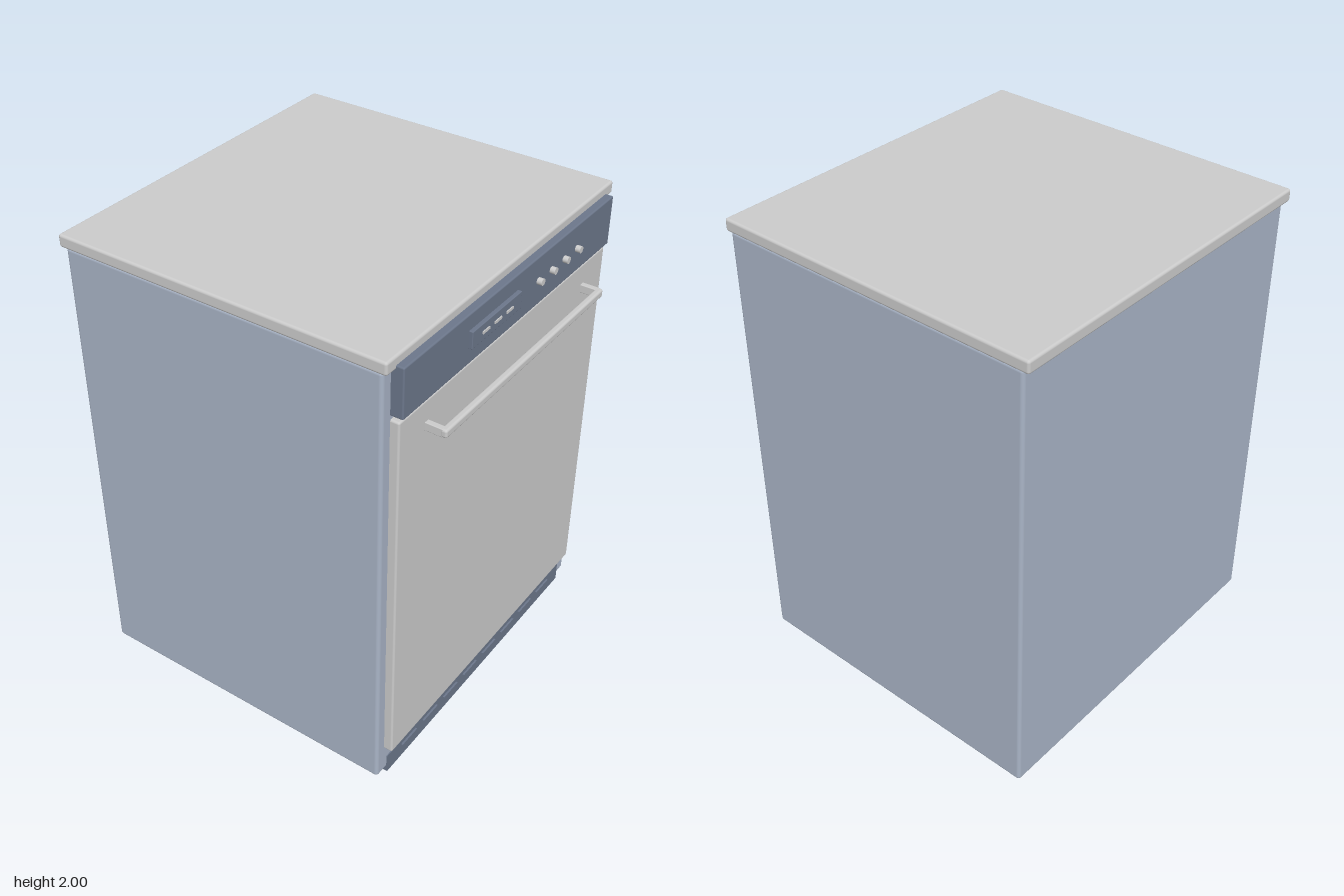
import * as THREE from 'three';
import { RoundedBoxGeometry } from 'three/addons/geometries/RoundedBoxGeometry.js';

const paint = (color) => new THREE.MeshStandardMaterial({ color });

export function createModel() {
  const model = new THREE.Group();
  const bodyPaint = paint(0xa9b4c6);
  const steel = paint(0xcccccc);
  const dark = paint(0x6c778b);

  const add = (parent, name, geometry, material) => {
    const mesh = new THREE.Mesh(geometry, material);
    mesh.name = name;
    parent.add(mesh);
    return mesh;
  };

  // Box given by its extents on each axis, with softened edges when radius > 0
  const box = (parent, name, material, [x0, x1], [y0, y1], [z0, z1], radius = 0) => {
    const size = [x1 - x0, y1 - y0, z1 - z0];
    const geometry = radius
      ? new RoundedBoxGeometry(...size, 3, radius)
      : new THREE.BoxGeometry(...size);
    const mesh = add(parent, name, geometry, material);
    mesh.position.set((x0 + x1) / 2, (y0 + y1) / 2, (z0 + z1) / 2);
    return mesh;
  };
  const group = (name) => {
    const g = new THREE.Group();
    g.name = name;
    model.add(g);
    return g;
  };

  // Cabinet, worktop and door
  box(model, 'cabinet', bodyPaint, [-0.725, 0.725], [0.1, 1.955], [-0.705, 0.612], 0.014);
  box(model, 'worktop', steel, [-0.73, 0.73], [1.95, 2], [-0.73, 0.63], 0.01);
  box(model, 'door', steel, [-0.68, 0.68], [0.223, 1.757], [0.6, 0.647], 0.008);

  // Control panel with display and indicator buttons
  const controls = group('controls');
  box(controls, 'controlPanel', dark, [-0.68, 0.68], [1.772, 1.967], [0.6, 0.66], 0.006);
  box(controls, 'display', dark, [-0.307, 0.005], [1.838, 1.905], [0.65, 0.675], 0.003);
  for (let i = 0; i < 3; i++) {
    const x = -0.225 + i * 0.075;
    box(controls, 'displayMark', steel, [x - 0.021, x + 0.021], [1.867, 1.877], [0.67, 0.679]);
  }
  for (let i = 0; i < 4; i++) {
    const button = add(controls, 'button', new THREE.CylinderGeometry(0.013, 0.013, 0.03, 20), steel);
    button.rotation.x = Math.PI / 2;
    button.position.set(0.144 + i * 0.091, 1.872, 0.665);
  }

  // Bar handle on two posts
  const handle = group('handle');
  box(handle, 'handleBar', steel, [-0.533, 0.533], [1.64, 1.673], [0.703, 0.73], 0.009);
  for (const s of [-1, 1]) {
    box(handle, 'handlePost', steel, [s * 0.521 - 0.011, s * 0.521 + 0.011], [1.64, 1.673], [0.64, 0.715], 0.003);
  }

  // Kick plate with a row of vents
  const plinth = group('plinth');
  box(plinth, 'kickPlate', dark, [-0.663, 0.663], [0.077, 0.163], [0.58, 0.616]);
  for (let i = 0; i < 8; i++) {
    const x = (i - 3.5) * 0.148;
    box(plinth, 'vent', dark, [x - 0.05, x + 0.05], [0.134, 0.143], [0.61, 0.624]);
  }

  // Four round feet
  for (const x of [-0.585, 0.585]) {
    for (const z of [-0.565, 0.5]) {
      const foot = add(model, 'foot', new THREE.CylinderGeometry(0.04, 0.04, 0.058, 24), dark);
      foot.position.set(x, 0.029, z);
    }
  }
  return model;
}
